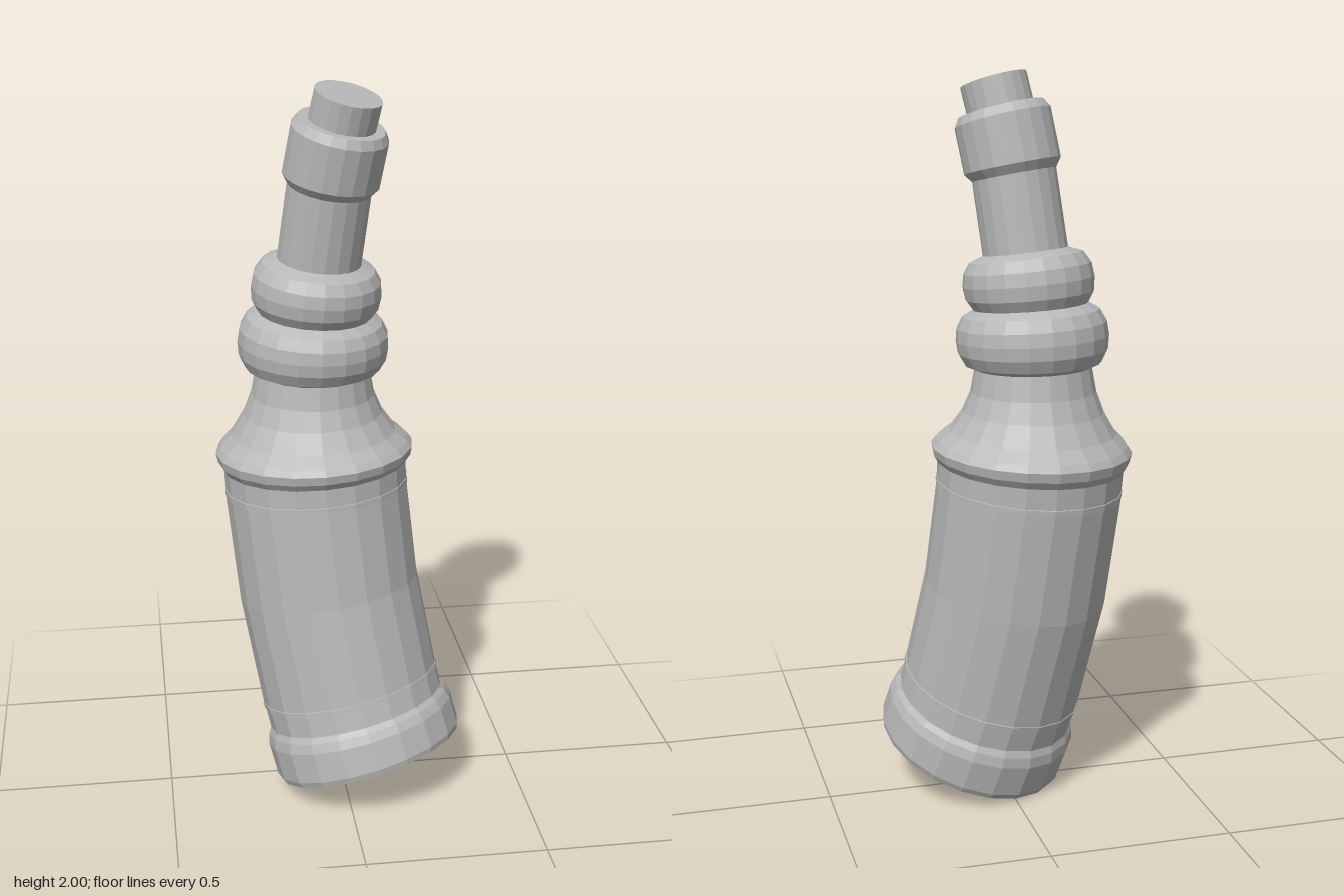
import * as THREE from 'three';

const SIDES = 20;
const BEND = 0.355;          // curvature of the centre line
const UPRIGHT_Y = 1.15;      // height where the centre line is vertical
const UPRIGHT_X = -0.07;     // x and z of the centre line there

// Bends an upright lathe around a horizontal axis, towards the +x +z diagonal.
function bend(geometry) {
  const p = geometry.attributes.position;
  for (let i = 0; i < p.count; i++) {
    const x = p.getX(i), z = p.getZ(i);
    const along = (x + z) / Math.SQRT2, across = (x - z) / Math.SQRT2;
    const angle = Math.asin(BEND * (p.getY(i) - UPRIGHT_Y));
    const d = (1 - Math.cos(angle)) / BEND + along * Math.cos(angle);
    const y = p.getY(i) - along * Math.sin(angle);
    p.setXYZ(i, UPRIGHT_X + (d + across) / Math.SQRT2, y, UPRIGHT_X + (d - across) / Math.SQRT2);
  }
  geometry.computeVertexNormals();
  return geometry;
}

export function createModel() {
  const bottle = new THREE.Group();
  bottle.name = 'bentBottle';
  const grey = new THREE.MeshStandardMaterial({ color: 0xb8b8b8, flatShading: true });
  grey.name = 'grey';

  // Each profile lists [radius, height on the centre line] from bottom to top.
  function addPart(name, profile) {
    const points = profile.map(([r, y]) => new THREE.Vector2(r, y));
    const mesh = new THREE.Mesh(bend(new THREE.LatheGeometry(points, SIDES)), grey);
    mesh.name = name;
    bottle.add(mesh);
  }

  // Thick foot with a bevelled top
  addPart('base', [[0, 0.1], [0.266, 0.1], [0.272, 0.115], [0.272, 0.195], [0.264, 0.22], [0.253, 0.235]]);

  // Straight wall with a slightly raised label
  addPart('body', [
    [0.253, 0.235], [0.253, 0.29], [0.256, 0.291], [0.256, 0.305], [0.254, 0.306],
    [0.254, 0.59], [0.254, 0.882], [0.257, 0.883], [0.257, 0.898], [0.255, 0.899], [0.256, 0.953],
  ]);

  // Ridge and concave shoulder
  addPart('shoulder', [
    [0.256, 0.953], [0.27, 0.973], [0.275, 0.998], [0.262, 1.015],
    [0.228, 1.045], [0.192, 1.1], [0.17, 1.155], [0.158, 1.22],
  ]);

  // Two swollen rings
  addPart('lowerBulge', [
    [0.158, 1.22], [0.185, 1.232], [0.202, 1.265], [0.206, 1.3],
    [0.202, 1.335], [0.185, 1.367], [0.155, 1.385],
  ]);
  addPart('upperBulge', [
    [0.155, 1.385], [0.172, 1.413], [0.177, 1.45], [0.172, 1.485], [0.153, 1.515], [0.114, 1.53],
  ]);

  // Neck, collar and stopper
  addPart('neck', [[0.114, 1.53], [0.113, 1.73]]);
  addPart('collar', [[0.113, 1.73], [0.13, 1.753], [0.13, 1.877], [0.116, 1.9], [0.088, 1.9]]);
  addPart('stopper', [[0.09, 1.89], [0.09, 1.975], [0, 1.975]]);

  return bottle;
}
